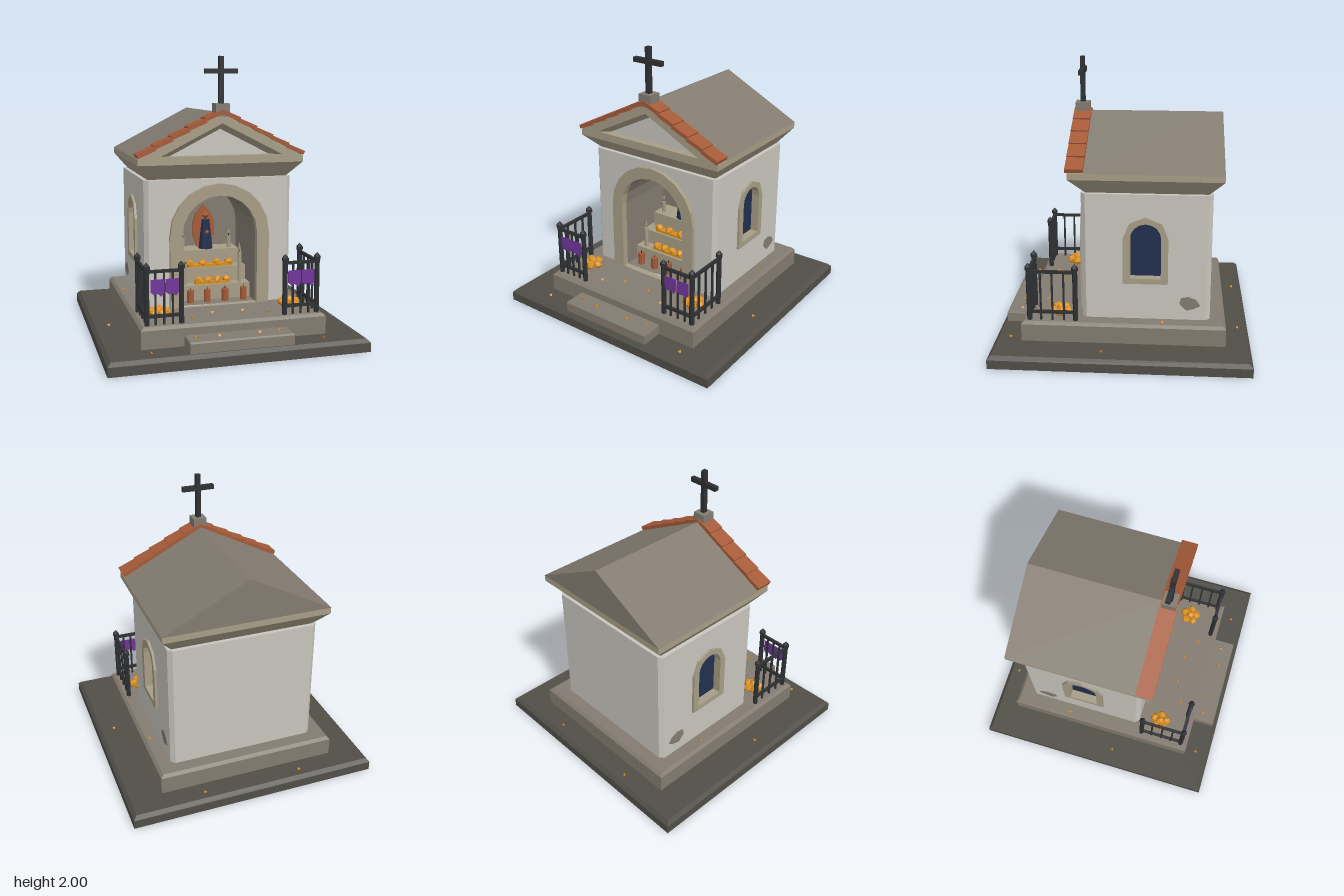
import * as THREE from 'three';

const mat = (name, color) => Object.assign(new THREE.MeshStandardMaterial({ color, flatShading: true }), { name });

export function createModel() {
  const M = {
    wall: mat('pale plaster', 0xc8c5bd), trim: mat('sandstone trim', 0xa69d86),
    stone: mat('grey stone', 0x837b70), base: mat('dark paving', 0x504e47),
    tile: mat('terracotta', 0xa55a38), iron: mat('black iron', 0x2e3033),
    purple: mat('purple cloth', 0x71359a), gold: mat('marigold', 0xd98f20),
    navy: mat('navy blue', 0x22304e),
  };
  const model = new THREE.Group();
  const add = (name, geo, m, x = 0, y = 0, z = 0) => {
    const mesh = new THREE.Mesh(geo, m);
    mesh.name = name;
    mesh.position.set(x, y, z);
    model.add(mesh);
    return mesh;
  };
  const box = (name, m, w, h, d, x, y, z) => add(name, new THREE.BoxGeometry(w, h, d), m, x, y, z);

  // Solid lofted through rectangles given as [y, halfWidth, zBack, zFront]
  const loft = (levels) => {
    const pos = [], idx = [];
    levels.forEach(([y, h, b, f]) => pos.push(-h, y, f, h, y, f, h, y, b, -h, y, b));
    for (let l = 0; l < levels.length - 1; l++) for (let i = 0; i < 4; i++) {
      const a = l * 4 + i, b = l * 4 + (i + 1) % 4;
      idx.push(a, b, b + 4, a, b + 4, a + 4);
    }
    const t = (levels.length - 1) * 4;
    idx.push(t, t + 1, t + 2, t, t + 2, t + 3, 0, 2, 1, 0, 3, 2);
    const g = new THREE.BufferGeometry();
    g.setAttribute('position', new THREE.Float32BufferAttribute(pos, 3));
    g.setIndex(idx);
    const out = g.toNonIndexed();
    out.computeVertexNormals();
    return out;
  };
  const poly = (pts) => new THREE.Shape(pts.map(([x, y]) => new THREE.Vector2(x, y)));
  const arch = (r, spring, bottom, n, cx = 0) => {
    const pts = [[cx - r, bottom], [cx + r, bottom]];
    for (let i = 0; i <= n; i++) {
      const a = Math.PI * i / n;
      pts.push([cx + r * Math.cos(a), spring + r * Math.sin(a)]);
    }
    return poly(pts);
  };
  const extrude = (shape, depth, hole) => {
    if (hole) shape.holes.push(hole);
    return new THREE.ExtrudeGeometry(shape, { depth, bevelEnabled: false });
  };

  // Paving, platform and step
  add('paving', loft([[0, 0.9, -0.9, 0.9], [0.065, 0.9, -0.9, 0.9], [0.09, 0.875, -0.875, 0.875]]), M.base);
  add('platform', loft([[0.09, 0.65, -0.725, 0.705], [0.215, 0.65, -0.725, 0.705], [0.235, 0.63, -0.705, 0.685]]), M.stone);
  add('step', loft([[0.09, 0.36, 0.68, 0.865], [0.155, 0.36, 0.68, 0.865], [0.165, 0.355, 0.68, 0.855]]), M.stone);

  // Front and back walls, bevelled corners
  add('frontWall', extrude(poly([[-0.51, 0.225], [0.51, 0.225], [0.51, 1.15], [-0.51, 1.15]]), 0.05,
    arch(0.3, 0.75, 0.235, 10)), M.wall, 0, 0, 0.235);
  box('backWall', M.wall, 1.02, 0.925, 0.05, 0, 0.6875, -0.59);
  for (const s of [-1, 1]) for (const [z, d] of [[0.285, 1], [-0.615, -1]]) {
    const p = [[0.48, 0], [0.51, 0], [0.54, 0.03], [0.54, 0.06], [0.48, 0.06]]
      .map(([x, t]) => [s * x, -(z - d * t)]);
    const g = extrude(poly(p), 0.925);
    g.rotateX(-Math.PI / 2);
    add('wallCorner', g, M.wall, 0, 0.225, 0);
  }

  // Side walls with arched windows and a patch of worn plaster
  for (const s of [-1, 1]) {
    const side = (name, shape, hole, x0, x1, m) => {
      const g = extrude(shape, x1 - x0, hole);
      g.rotateY(Math.PI / 2);
      add(name, g, m, s > 0 ? x0 : -x1, 0, 0);
    };
    side('sideWall', poly([[-0.255, 0.225], [0.585, 0.225], [0.585, 1.15], [-0.255, 1.15]]),
      arch(0.13, 0.835, 0.525, 4, 0.16), 0.48, 0.54, M.wall);
    side('windowFrame', arch(0.156, 0.835, 0.505, 4, 0.16), arch(0.107, 0.838, 0.545, 8, 0.16), 0.48, 0.558, M.trim);
    side('windowGlass', arch(0.115, 0.838, 0.535, 8, 0.16), null, 0.49, 0.498, M.navy);
    side('wornPatch', poly([[0.4, 0.355], [0.45, 0.305], [0.51, 0.325], [0.545, 0.345], [0.515, 0.39], [0.46, 0.41], [0.41, 0.4]]),
      null, 0.538, 0.544, M.stone);
  }

  // Niche and its arch
  add('archTrim', extrude(arch(0.365, 0.75, 0.225, 10), 0.05, arch(0.275, 0.755, 0.235, 10)), M.trim, 0, 0, 0.265);
  add('nicheShell', extrude(arch(0.3, 0.752, 0.225, 10), 0.465, arch(0.275, 0.755, 0.235, 10)), M.stone, 0, 0, -0.2);
  add('nicheBack', extrude(arch(0.3, 0.752, 0.225, 10), 0.02), M.stone, 0, 0, -0.22);

  // Stepped altar with flowers
  [[0.235, 0.345, 0.275, 0.15], [0.345, 0.455, 0.27, 0.06], [0.455, 0.57, 0.24, -0.03]].forEach(([y0, y1, h, f]) =>
    box('altarTier', M.trim, h * 2, y1 - y0, f + 0.2, 0, (y0 + y1) / 2, (f - 0.2) / 2));
  const flower = (r, x, y, z, turn = 0) => {
    add('flower', new THREE.IcosahedronGeometry(r, 0), M.gold, x, y, z).rotation.set(turn, turn * 1.7, 0);
  };
  [-0.15, -0.055, 0.055, 0.15].forEach((x, i) => flower(0.034, x, 0.48, 0.02, i));
  [-0.105, -0.035, 0.035, 0.105].forEach((x, i) => flower(0.034, x, 0.37, 0.105, i + 2));
  box('flowerBed', M.gold, 0.33, 0.02, 0.05, 0, 0.465, 0.02);
  box('flowerBed', M.gold, 0.27, 0.02, 0.05, 0, 0.355, 0.105);

  // Candles
  const candle = (x, y, z, h, r, m) => {
    add('candle', new THREE.CylinderGeometry(r, r, h, 8), m, x, y + h / 2, z);
    add('wick', new THREE.CylinderGeometry(0.003, 0.003, 0.02, 5), M.iron, x, y + h + 0.01, z);
  };
  [-0.19, -0.065, 0.07, 0.21].forEach((x) => candle(x, 0.235, 0.2, 0.09, 0.026, M.tile));
  [[-0.21, 0.345, 0.11, 0.155], [0.21, 0.345, 0.11, 0.225], [-0.18, 0.57, -0.08, 0.09], [0.18, 0.57, -0.08, 0.09], [0.235, 0.455, 0.02, 0.11]]
    .forEach(([x, y, z, h]) => {
      candle(x, y, z, h, 0.015, M.trim);
      add('flame', new THREE.ConeGeometry(0.009, 0.04, 6), M.trim, x, y + h + 0.04, z);
    });

  // Robed figure before a pointed oval panel
  add('haloPanel', extrude(poly([[-0.05, 0.57], [0.05, 0.57], [0.085, 0.67], [0.085, 0.75], [0.06, 0.83], [0, 0.895],
    [-0.06, 0.83], [-0.085, 0.75], [-0.085, 0.67]]), 0.02), M.tile, 0, 0, -0.17);
  add('robe', new THREE.CylinderGeometry(0.03, 0.055, 0.22, 8), M.navy, 0, 0.68, -0.09);
  add('head', new THREE.OctahedronGeometry(0.033, 0), M.tile, 0, 0.825, -0.09);
  add('hands', new THREE.OctahedronGeometry(0.018, 0), M.tile, 0, 0.7, -0.045);

  // Cornice, roof and pediment
  add('cornice', loft([[1.15, 0.51, -0.585, 0.255], [1.26, 0.597, -0.685, 0.365], [1.306, 0.597, -0.685, 0.365]]), M.trim);
  add('roof', extrude(poly([[-0.6, 1.305], [0.6, 1.305], [0, 1.615]]), 0.945), M.stone, 0, 0, -0.685);
  add('pediment', extrude(poly([[-0.597, 1.305], [0.597, 1.305], [0, 1.612]]), 0.105,
    poly([[-0.44, 1.317], [0.44, 1.317], [0, 1.54]])), M.trim, 0, 0, 0.26);
  add('pedimentPanel', extrude(poly([[-0.45, 1.31], [0.45, 1.31], [0, 1.545]]), 0.04), M.wall, 0, 0, 0.262);
  const reveal = new THREE.BufferGeometry();
  reveal.setAttribute('position', new THREE.Float32BufferAttribute([
    -0.44, 1.317, 0.364, -0.36, 1.317, 0.303, 0, 1.54, 0.364, 0, 1.5, 0.303, 0.44, 1.317, 0.364, 0.36, 1.317, 0.303], 3));
  reveal.setIndex([0, 1, 3, 0, 3, 2, 2, 3, 5, 2, 5, 4]);
  const revealGeo = reveal.toNonIndexed();
  revealGeo.computeVertexNormals();
  add('pedimentReveal', revealGeo, M.trim);

  // Overlapping verge tiles
  for (const s of [-1, 1]) for (let i = 0; i < 5; i++) {
    const x = 0.062 + i * 0.119;
    box('roofTile', M.tile, 0.138, 0.028, 0.123, s * x, 1.626 - 0.513 * x, 0.319).rotation.z = -s * 0.4;
  }

  // Cross on its block
  box('crossBlock', M.stone, 0.1, 0.09, 0.1, 0, 1.632, 0.32);
  box('crossPost', M.iron, 0.034, 0.33, 0.034, 0, 1.835, 0.32);
  box('crossArm', M.iron, 0.236, 0.034, 0.034, 0, 1.898, 0.32);

  // L-shaped railings, cloths and flower heaps on both sides
  for (const s of [-1, 1]) {
    for (const [x, z] of [[0.365, 0.65], [0.6, 0.65], [0.6, 0.325]]) {
      add('railPost', new THREE.CylinderGeometry(0.018, 0.018, 0.39, 6), M.iron, s * x, 0.43, z);
      add('postCap', new THREE.CylinderGeometry(0.024, 0.024, 0.024, 6), M.iron, s * x, 0.622, z);
      add('postTip', new THREE.ConeGeometry(0.024, 0.028, 6), M.iron, s * x, 0.647, z);
    }
    for (const y of [0.295, 0.597]) {
      box('frontRail', M.iron, 0.235, 0.02, 0.02, s * 0.4825, y, 0.65);
      box('sideRail', M.iron, 0.02, 0.02, 0.325, s * 0.6, y, 0.4875);
    }
    for (const t of [0.25, 0.5, 0.75]) {
      box('baluster', M.iron, 0.013, 0.36, 0.013, s * (0.365 + 0.235 * t), 0.415, 0.65);
      box('baluster', M.iron, 0.013, 0.36, 0.013, s * 0.6, 0.415, 0.325 + 0.325 * t);
    }
    for (const c of [0.43, 0.53])
      add('cloth', extrude(poly([[-0.046, 0.545], [-0.046, 0.46], [-0.022, 0.44], [0, 0.45], [0.026, 0.428], [0.046, 0.455], [0.046, 0.545]]), 0.006),
        M.purple, s * c, 0, 0.659);
    for (let i = 0; i < 6; i++) {
      const a = i * Math.PI * 2 / 5, r = i < 5 ? 0.05 : 0;
      flower(0.036, s * 0.475 + r * Math.cos(a), i < 5 ? 0.258 : 0.275, 0.445 + r * Math.sin(a), i * s);
    }
    // Scattered petals
    [[0.36, 0.09, -0.82], [0.78, 0.09, 0.13], [0.6, 0.09, 0.79], [0.6, 0.235, -0.28], [0.11, 0.235, 0.49],
      [0.27, 0.235, 0.57], [0.29, 0.165, 0.765], [0.14, 0.165, 0.78]].forEach(([x, y, z], i) => {
      add('petal', new THREE.TetrahedronGeometry(0.016, 0), M.gold, s * x, y + 0.004, z).rotation.y = i;
    });
  }
  return model;
}
